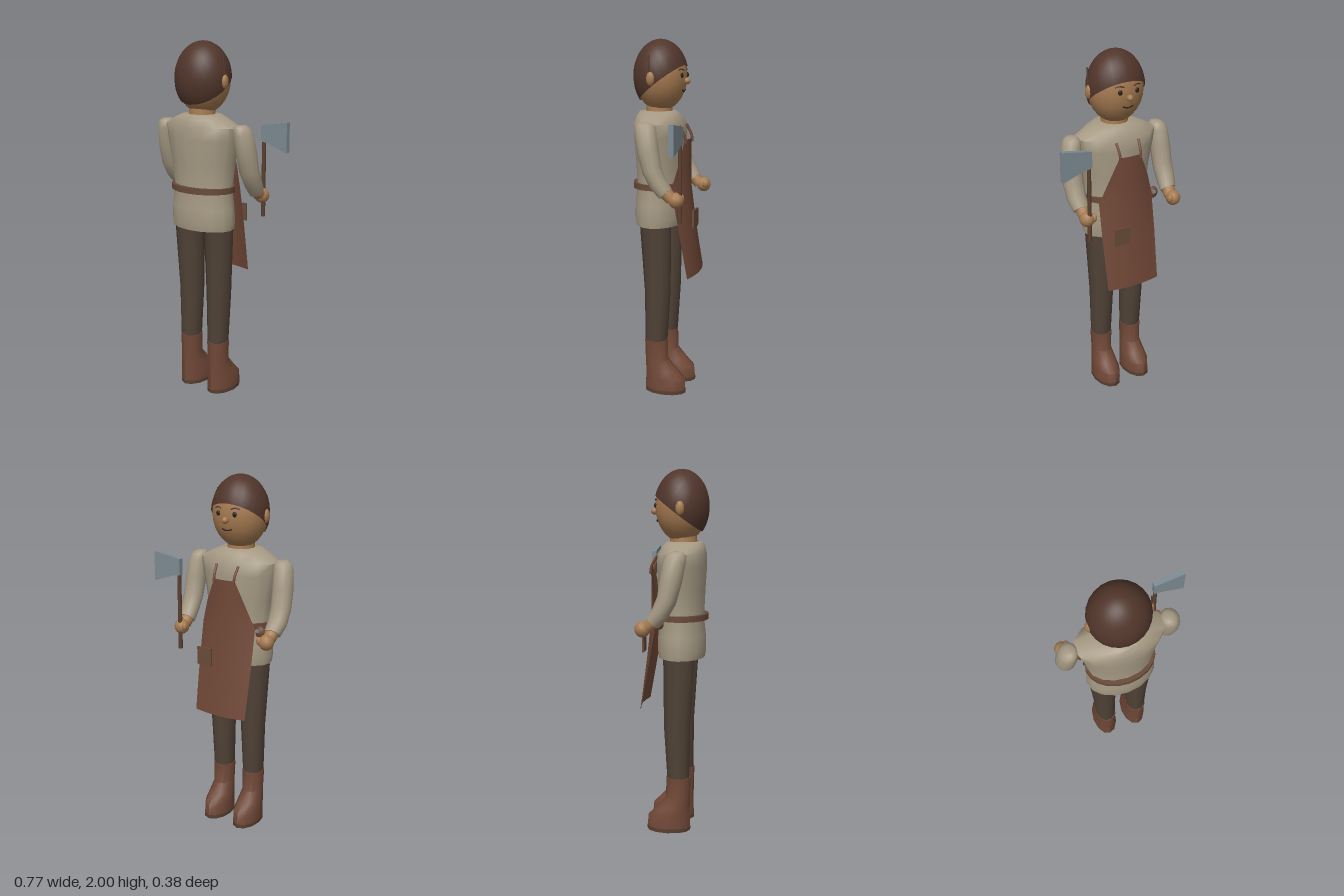
import * as THREE from 'three';
import { toCreasedNormals } from 'three/addons/utils/BufferGeometryUtils.js';

const mat = (color) => new THREE.MeshStandardMaterial({ color, side: THREE.DoubleSide });
const skin = mat(0xa57a50), hairMat = mat(0x50352a), shirt = mat(0xa69a84), trousers = mat(0x504236);
const leather = mat(0x704837), beltMat = mat(0x684a38), steel = mat(0x7d8a92), dark = mat(0x2a1e18), wood = mat(0x5a4030);

// Capped skin over elliptical rings [x, y, z, rx, rz, tilt], listed from bottom to top
function loft(rings, sides = 14, crease = 0.7) {
  const first = rings[0], last = rings[rings.length - 1];
  const cap = (r) => [r[0], r[1], r[2], 0, 0, 0];
  const all = [cap(first), ...rings, cap(last)];
  const pos = [], idx = [];
  all.forEach(([x, y, z, rx, rz, tilt = 0], i) => {
    for (let j = 0; j < sides; j++) {
      const t = (j / sides) * Math.PI * 2, d = Math.sin(t) * rz;
      pos.push(x + Math.cos(t) * rx, y - d * Math.sin(tilt), z + d * Math.cos(tilt));
      if (i === all.length - 1) continue;
      const a = i * sides + j, b = i * sides + ((j + 1) % sides);
      idx.push(a, a + sides, b, b, a + sides, b + sides);
    }
  });
  const g = new THREE.BufferGeometry();
  g.setAttribute('position', new THREE.Float32BufferAttribute(pos, 3));
  g.setIndex(idx);
  return toCreasedNormals(g, crease);
}

function tube(points, radius) {
  const curve = new THREE.CatmullRomCurve3(points.map((p) => new THREE.Vector3(...p)));
  return new THREE.TubeGeometry(curve, 8, radius, 6);
}

export function createModel() {
  const group = new THREE.Group();
  const body = new THREE.Group();
  body.name = 'body';
  body.position.x = -0.05;
  group.add(body);
  const add = (name, geometry, material, x = 0, y = 0, z = 0) => {
    const m = new THREE.Mesh(geometry, material);
    m.name = name;
    m.position.set(x, y, z);
    body.add(m);
    return m;
  };
  const ball = (name, material, p, s) => {
    const m = add(name, new THREE.SphereGeometry(1, 12, 8), material, ...p);
    m.scale.set(...s);
    return m;
  };

  // Head and slanted cap of hair
  const head = new THREE.SphereGeometry(1, 20, 14);
  add('head', head.scale(0.153, 0.19, 0.145), skin, 0, 1.8, 0.04);
  const hair = new THREE.SphereGeometry(1, 24, 14, 0, Math.PI * 2, 0, 1.78);
  add('hair', hair.rotateX(0.52).scale(0.16, 0.2, 0.151), hairMat, 0, 1.8, 0.04);
  add('neck', new THREE.CylinderGeometry(0.07, 0.08, 0.12, 12), skin, 0, 1.61, 0.05);

  // Face, on the -z side
  const faceZ = (x, y) => 0.04 - 0.145 * Math.sqrt(1 - (x / 0.153) ** 2 - ((y - 1.8) / 0.19) ** 2);
  ball('nose', skin, [0, 1.775, -0.11], [0.018, 0.018, 0.02]);
  const arc = (x0, x1, y, bend) => tube([0, 0.5, 1].map((t) => {
    const x = x0 + (x1 - x0) * t, yy = y + bend * 4 * t * (1 - t);
    return [x, yy, faceZ(x, yy) - 0.001];
  }), 0.0035);
  add('mouth', arc(-0.03, 0.03, 1.727, -0.008), dark);
  for (const s of [-1, 1]) {
    ball('eye', dark, [s * 0.05, 1.807, faceZ(0.05, 1.807)], [0.013, 0.014, 0.008]);
    add('eyebrow', arc(s * 0.03, s * 0.075, 1.834, 0.006), hairMat);
    ball('ear', skin, [s * 0.155, 1.79, 0.048], [0.018, 0.038, 0.024]);
  }
  const pencil = add('pencil', new THREE.CylinderGeometry(0.005, 0.005, 0.12, 6), wood, 0.156, 1.857, 0.055);
  pencil.rotation.x = 0.05;

  // Shirt and belt
  add('shirt', loft([
    [0, 0.98, 0.042, 0.195, 0.128], [0, 1.02, 0.042, 0.2, 0.135], [0, 1.1, 0.042, 0.197, 0.133],
    [0, 1.2, 0.04, 0.182, 0.124], [0, 1.35, 0.04, 0.2, 0.131], [0, 1.48, 0.042, 0.228, 0.137],
    [0, 1.55, 0.043, 0.24, 0.134], [0, 1.59, 0.052, 0.165, 0.117], [0, 1.612, 0.055, 0.11, 0.1],
  ], 16, 1), shirt);
  add('belt', loft([[0, 1.19, 0.043, 0.196, 0.146], [0, 1.222, 0.043, 0.196, 0.146]], 20), beltMat);
  ball('beltPouch', leather, [-0.19, 1.185, -0.055], [0.03, 0.034, 0.022]);
  add('pouchClasp', new THREE.BoxGeometry(0.02, 0.014, 0.012), steel, -0.185, 1.195, -0.077);

  for (const s of [-1, 1]) {
    // Legs and boots
    add('trouserLeg', loft([
      [s * 0.1, 0.29, 0.035, 0.058, 0.063], [s * 0.1, 0.6, 0.027, 0.068, 0.074],
      [s * 0.106, 1.0, 0.038, 0.08, 0.088],
    ], 10), trousers);
    add('boot', loft([
      [s * 0.1, 0.02, -0.02, 0.074, 0.121], [s * 0.1, 0.085, -0.018, 0.073, 0.117],
      [s * 0.1, 0.13, 0.005, 0.067, 0.094], [s * 0.1, 0.19, 0.032, 0.057, 0.068],
      [s * 0.1, 0.31, 0.035, 0.062, 0.068],
    ], 12), leather);
    add('bootSole', loft([[s * 0.1, 0, -0.02, 0.074, 0.122], [s * 0.1, 0.022, -0.02, 0.075, 0.123]], 12), wood);

    // Arms bent forward, with closed fists
    add('sleeve', loft([
      [s * 0.277, 1.197, -0.078, 0.046, 0.042, 0.75], [s * 0.284, 1.25, -0.038, 0.053, 0.048, 0.6],
      [s * 0.283, 1.32, -0.004, 0.056, 0.053, 0.4], [s * 0.28, 1.42, 0.018, 0.056, 0.059, 0.2],
      [s * 0.272, 1.52, 0.036, 0.052, 0.058, 0.1], [s * 0.265, 1.555, 0.042, 0.042, 0.048],
      [s * 0.262, 1.567, 0.044, 0.024, 0.03],
    ], 12, 1), shirt);
    add('wrist', loft([[s * 0.273, 1.17, -0.11, 0.036, 0.034, 0.8], [s * 0.276, 1.21, -0.068, 0.038, 0.036, 0.8]], 10), skin);
    ball('fist', skin, [s * 0.274, 1.163, -0.135], [0.042, 0.043, 0.042]);
    ball('thumb', skin, [s * 0.241, 1.17, -0.153], [0.015, 0.024, 0.018]);

    // Apron straps
    add('apronStrap', tube([[s * 0.062, 1.44, -0.125], [s * 0.064, 1.48, -0.118], [s * 0.068, 1.535, -0.088]], 0.008), leather);
  }

  // Apron: bowed rows of [y, halfWidth, centreZ, edgeZ]
  const rows = [[0.7, 0.162, -0.185, -0.165], [0.98, 0.168, -0.15, -0.115], [1.2, 0.168, -0.128, -0.075],
    [1.32, 0.125, -0.126, -0.1], [1.46, 0.066, -0.126, -0.12]];
  const apron = new THREE.PlaneGeometry(2, 1, 10, rows.length - 1);
  const p = apron.attributes.position;
  for (let i = 0; i < p.count; i++) {
    const u = p.getX(i), [y, w, zc, ze] = rows[rows.length - 1 - Math.floor(i / 11)];
    p.setXYZ(i, -u * w, y, zc + (ze - zc) * u * u);
  }
  apron.computeVertexNormals();
  add('apron', apron, leather);
  add('apronPocket', new THREE.BoxGeometry(0.09, 0.1, 0.01), beltMat, 0.085, 1.035, -0.187);

  // Hatchet held in the +x hand
  add('hatchetHandle', new THREE.CylinderGeometry(0.011, 0.012, 0.51, 8), wood, 0.27, 1.295, -0.155);
  const blade = new THREE.Shape([[0.258, 1.55], [0.3, 1.558], [0.427, 1.577], [0.427, 1.412], [0.3, 1.456], [0.258, 1.46]]
    .map(([x, y]) => new THREE.Vector2(x, y)));
  add('hatchetHead', new THREE.ExtrudeGeometry(blade, { depth: 0.028, bevelEnabled: false }), steel, 0, 0, -0.169);

  return group;
}
